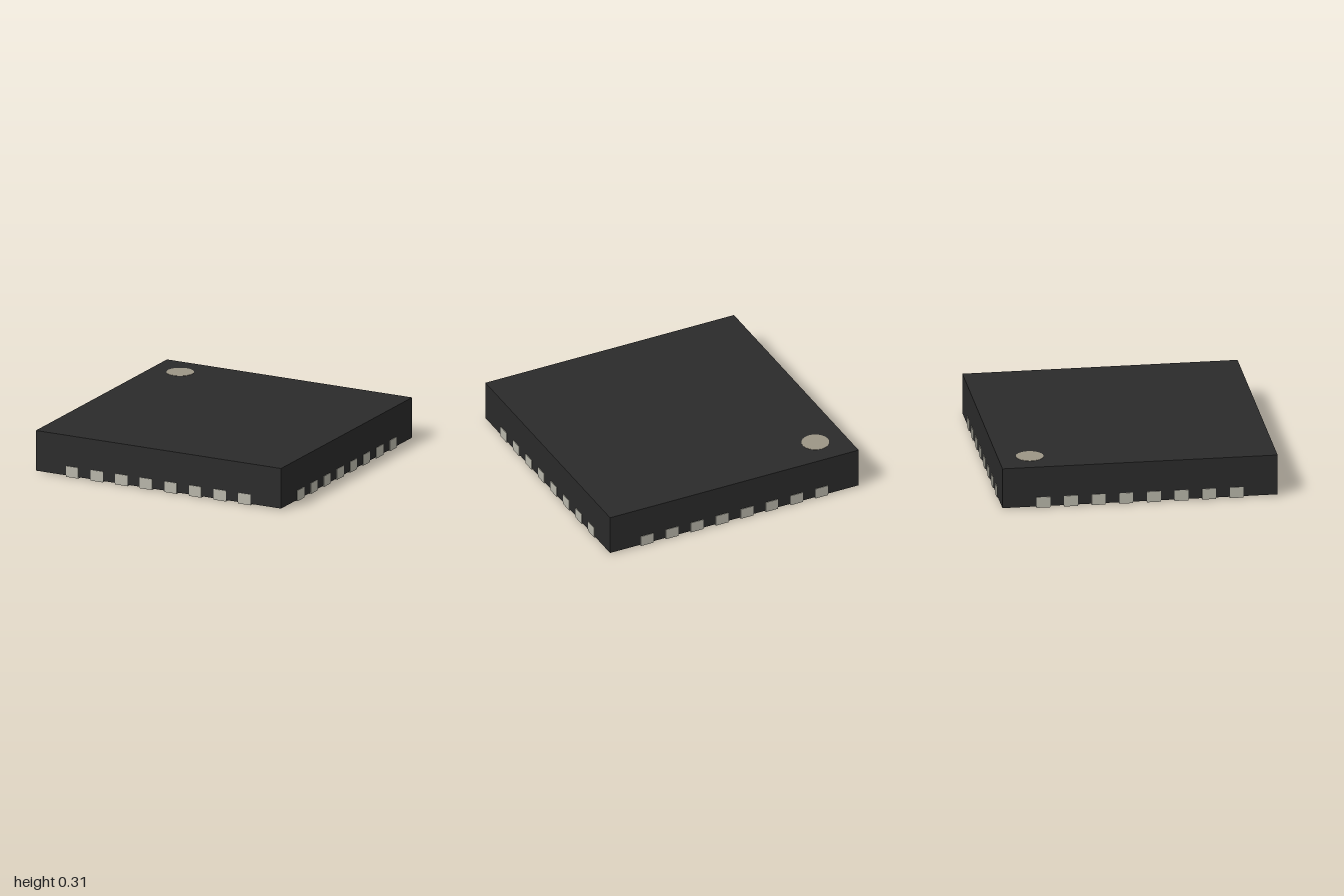
import * as THREE from 'three';

const mat = (color) => new THREE.MeshStandardMaterial({ color });

function part(name, geometry, material, x = 0, y = 0, z = 0) {
  const mesh = new THREE.Mesh(geometry, material);
  mesh.name = name;
  mesh.position.set(x, y, z);
  return mesh;
}

// Extrudes a plan outline (x, z) upward from y = 0.
function slab(shape, height) {
  const g = new THREE.ExtrudeGeometry(shape, { depth: height, bevelEnabled: false, curveSegments: 12 });
  return g.rotateX(Math.PI / 2).translate(0, height, 0);
}

export function createModel() {
  const model = new THREE.Group();
  const plastic = mat(0x2a2a2a);
  const metal = mat(0xb8b6aa);
  const paint = mat(0x9c9585);

  const top = 0.31, gap = 0.01, half = 0.996;

  // Moulded body
  model.add(part('body', new THREE.BoxGeometry(half * 2, top - gap, half * 2), plastic, 0, (top + gap) / 2, 0));

  // Pin one dot
  model.add(part('pinOneDot', new THREE.CylinderGeometry(0.1, 0.1, 0.004, 48), paint, -0.765, top, -0.765));

  // Thermal pad with one chamfered corner
  const p = 0.69, c = 0.085;
  const padShape = new THREE.Shape([
    [-p + c, -p], [p, -p], [p, p], [-p, p], [-p, -p + c],
  ].map(([x, z]) => new THREE.Vector2(x, z)));
  model.add(part('thermalPad', slab(padShape, gap + 0.002), metal));

  // Contact foot: straight at the edge, rounded toward the centre
  const r = 0.05, tip = 0.835;
  const footShape = new THREE.Shape();
  footShape.moveTo(r, 1);
  footShape.lineTo(-r, 1);
  footShape.lineTo(-r, tip + r);
  footShape.absarc(0, tip + r, r, Math.PI, Math.PI * 2, false);
  footShape.closePath();
  const footGeometry = slab(footShape, gap + 0.002);
  const faceGeometry = new THREE.BoxGeometry(0.1, 0.08 - gap, 0.03);

  // Eight contacts along each of the four sides
  for (let s = 0; s < 4; s++) {
    const side = new THREE.Group();
    side.name = 'contactRow' + (s + 1);
    side.rotation.y = s * Math.PI / 2;
    for (let i = 0; i < 8; i++) {
      const x = -0.7 + i * 0.2;
      side.add(part('contactFoot', footGeometry, metal, x, 0, 0));
      side.add(part('contactFace', faceGeometry, metal, x, (0.08 + gap) / 2, 0.985));
    }
    model.add(side);
  }
  return model;
}
